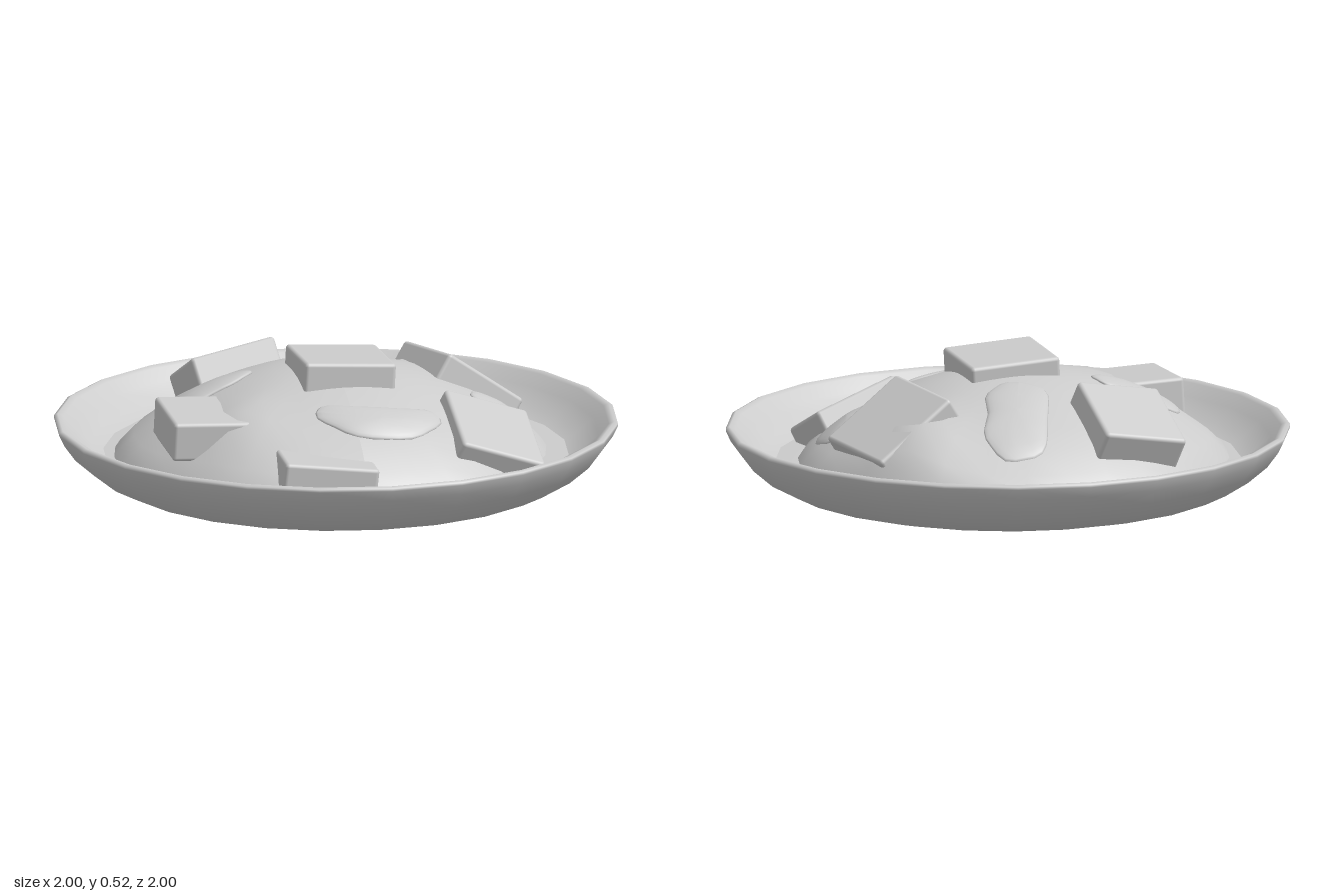
import * as THREE from 'three';
import { RoundedBoxGeometry } from 'three/addons/geometries/RoundedBoxGeometry.js';

const grey = new THREE.MeshStandardMaterial({ color: 0xcccccc, roughness: 0.8 });

// [radius, height] of the food mound
const MOUND = [[0, 0.455], [0.1, 0.45], [0.2, 0.437], [0.3, 0.412], [0.4, 0.376], [0.5, 0.332],
  [0.6, 0.28], [0.7, 0.208], [0.75, 0.16], [0.79, 0.1]];
const MOUND_X = -0.02;
const MOUND_DEPTH = 0.92;

// Soft lumps on the mound: [x, z, height, spread]
const LUMPS = [[0.47, -0.38, 0.085, 0.17], [-0.42, 0.34, 0.045, 0.15]];
const lumpHeight = (x, z) => LUMPS.reduce((sum, [lx, lz, height, spread]) =>
  sum + height * Math.exp(-((x - lx) ** 2 + (z - lz) ** 2) / spread ** 2), 0);

function moundHeight(x, z) {
  const r = Math.hypot(x - MOUND_X, z / MOUND_DEPTH);
  for (let i = 1; i < MOUND.length; i++) {
    const [r0, y0] = MOUND[i - 1], [r1, y1] = MOUND[i];
    if (r <= r1) return y0 + (y1 - y0) * (r - r0) / (r1 - r0) + lumpHeight(x, z);
  }
  return 0.1;
}

function addMesh(group, name, geometry) {
  const mesh = new THREE.Mesh(geometry, grey);
  mesh.name = name;
  group.add(mesh);
  return mesh;
}

const lathe = (points, sides) =>
  new THREE.LatheGeometry(points.map(([r, y]) => new THREE.Vector2(r, y)), sides);

// Tilted cube: centre of its top face, direction of that face, turn about it
function addChunk(group, top, normal, yaw, size = 0.34, thickness = 0.14) {
  const mesh = addMesh(group, 'cubedChunk', new RoundedBoxGeometry(size, thickness, size, 2, 0.014));
  const up = new THREE.Vector3(...normal).normalize();
  mesh.quaternion.setFromUnitVectors(new THREE.Vector3(0, 1, 0), up)
    .multiply(new THREE.Quaternion().setFromAxisAngle(new THREE.Vector3(0, 1, 0), yaw));
  mesh.position.set(...top).addScaledVector(up, -thickness / 2);
}

// Thin lumpy slice that follows the mound; bend curves it, waist pinches its middle
function addSlice(group, { x, z, length, width, yaw, bend = 0, waist = 0.2, taper = 0 }) {
  const geometry = new THREE.SphereGeometry(1, 28, 14);
  const pos = geometry.attributes.position;
  for (let i = 0; i < pos.count; i++) {
    const u = pos.getX(i), v = pos.getY(i), w = pos.getZ(i);
    const wave = 1 + 0.025 * Math.sin(Math.atan2(w, u) * 7);
    const across = w * wave * (1 + 0.3 * u * u) * (1 - waist * Math.exp(-u * u * 6)) * (1 + taper * u);
    const a = u * length / 2 * wave;
    const b = across * width / 2 + bend * (u * u - 0.4);
    const px = x + a * Math.cos(yaw) + b * Math.sin(yaw);
    const pz = z - a * Math.sin(yaw) + b * Math.cos(yaw);
    pos.setXYZ(i, px, moundHeight(px, pz) + 0.002 + 0.022 * v, pz);
  }
  geometry.computeVertexNormals();
  addMesh(group, 'softSlice', geometry);
}

export function createModel() {
  const model = new THREE.Group();
  model.name = 'bowlOfFood';

  // Shallow bowl: outside, rim, inside
  addMesh(model, 'bowl', lathe([
    [0, 0], [0.45, 0.004], [0.69, 0.02], [0.79, 0.045], [0.87, 0.085], [0.94, 0.145], [0.98, 0.2],
    [0.998, 0.238], [0.998, 0.248], [0.985, 0.254], [0.965, 0.246], [0.93, 0.205], [0.87, 0.155],
    [0.8, 0.118], [0.7, 0.09], [0, 0.08],
  ], 24));

  // Sauce filling the bottom of the bowl
  addMesh(model, 'sauce', lathe([[0.84, 0.13], [0.7, 0.135], [0, 0.14]], 24));

  // Food mound, raised by the lumps
  const moundGeometry = lathe([...MOUND].reverse(), 30);
  moundGeometry.scale(1, 1, MOUND_DEPTH).translate(MOUND_X, 0, 0);
  const pos = moundGeometry.attributes.position;
  for (let i = 0; i < pos.count; i++) {
    pos.setY(i, pos.getY(i) + lumpHeight(pos.getX(i), pos.getZ(i)));
  }
  moundGeometry.computeVertexNormals();
  addMesh(model, 'foodMound', moundGeometry);

  // Cubed chunks
  const chunks = new THREE.Group();
  chunks.name = 'cubedChunks';
  model.add(chunks);
  addChunk(chunks, [0.005, 0.503, 0.065], [0.06, 1, -0.03], 0.02, 0.33, 0.12);
  addChunk(chunks, [-0.32, 0.38, -0.46], [-0.25, 1, -0.45], 0.12, 0.32);
  addChunk(chunks, [0.505, 0.352, -0.2], [0.54, 0.83, -0.23], 0.26, 0.35);
  addChunk(chunks, [-0.49, 0.36, 0.2], [0.04, 1, 0.05], 0.01, 0.34);
  addChunk(chunks, [0.5, 0.29, 0.375], [0.42, 1, 0.4], 0.1, 0.33);
  addChunk(chunks, [-0.15, 0.262, 0.53], [0.11, 1, 0.02], -0.02, 0.34);

  // Soft slices
  const slices = new THREE.Group();
  slices.name = 'softSlices';
  model.add(slices);
  addSlice(slices, { x: 0.08, z: -0.37, length: 0.43, width: 0.25, yaw: 1.25, waist: 0.15 });
  addSlice(slices, { x: -0.45, z: -0.07, length: 0.32, width: 0.18, yaw: 0, taper: -0.35, waist: 0.05 });
  addSlice(slices, { x: 0.075, z: 0.41, length: 0.45, width: 0.15, yaw: 0, bend: -0.07, waist: 0 });
  addSlice(slices, { x: 0.57, z: 0.09, length: 0.21, width: 0.16, yaw: 0, taper: 0.25, waist: 0.2 });

  return model;
}
